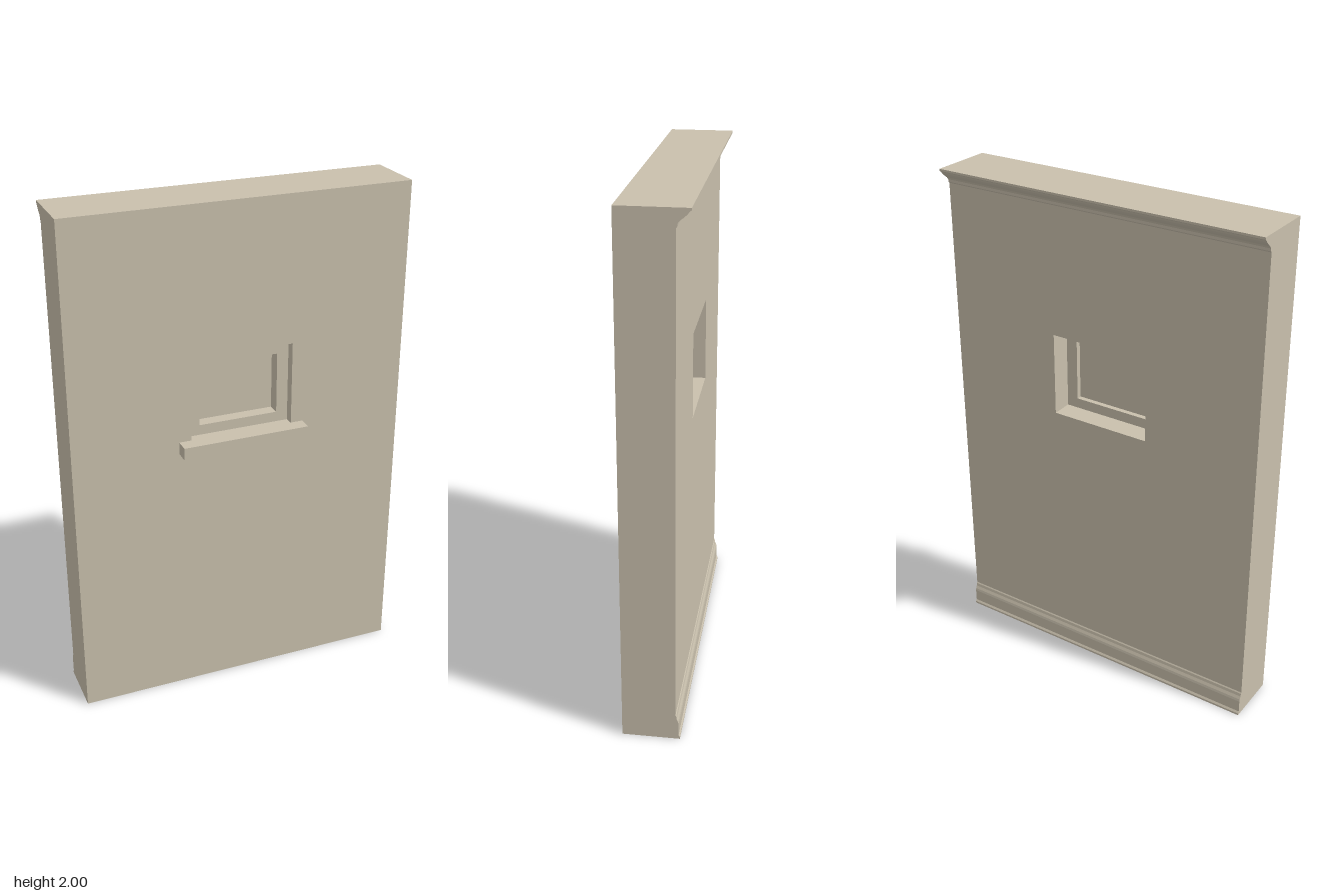
import * as THREE from 'three';

const WIDTH = 1.334, HEIGHT = 2, FRONT = 0.097, BACK = -0.103;
const OPEN = { x: 0.204, y0: 1.1, y1: 1.43 };
const PANE = { x: 0.158, y0: 1.14, y1: 1.382 };

function rectPath(path, x, y0, y1) {
  path.moveTo(-x, y0);
  path.lineTo(x, y0);
  path.lineTo(x, y1);
  path.lineTo(-x, y1);
  path.closePath();
  return path;
}

// Rectangular slab with a rectangular hole, between two depths
function piercedSlab(x, y0, y1, hole, z0, z1) {
  const shape = rectPath(new THREE.Shape(), x, y0, y1);
  shape.holes.push(rectPath(new THREE.Path(), hole.x, hole.y0, hole.y1));
  const geo = new THREE.ExtrudeGeometry(shape, { depth: z1 - z0, bevelEnabled: false });
  return geo.translate(0, 0, z0);
}

// Moulding: profile of [z, y] points swept along the wall width
function moulding(points) {
  const shape = new THREE.Shape(points.map(([z, y]) => new THREE.Vector2(z, y)));
  const geo = new THREE.ExtrudeGeometry(shape, { depth: WIDTH, bevelEnabled: false });
  return geo.translate(0, 0, -WIDTH / 2).rotateY(-Math.PI / 2);
}

function box(x0, x1, y0, y1, z0, z1) {
  return new THREE.BoxGeometry(x1 - x0, y1 - y0, z1 - z0)
    .translate((x0 + x1) / 2, (y0 + y1) / 2, (z0 + z1) / 2);
}

export function createModel() {
  const group = new THREE.Group();
  const plaster = new THREE.MeshStandardMaterial({ color: 0xc9c0ad });
  plaster.name = 'plaster';
  const add = (name, geo) => {
    const mesh = new THREE.Mesh(geo, plaster);
    mesh.name = name;
    group.add(mesh);
  };

  // Wall panel with window opening
  add('wall', piercedSlab(WIDTH / 2, 0, HEIGHT, OPEN, BACK, FRONT));

  // Window frame set back in the opening, with its pane
  add('windowFrame', piercedSlab(OPEN.x, OPEN.y0, OPEN.y1, PANE, -0.02, 0.06));
  add('windowPane', box(-PANE.x, PANE.x, PANE.y0, PANE.y1, 0, 0.01));

  // Projecting sill on the front
  add('sill', box(-0.252, 0.252, 1.053, 1.102, FRONT, 0.152));

  // Cornice at the top of the back face
  add('cornice', moulding([
    [BACK, 2], [-0.152, 2], [-0.152, 1.992], [-0.146, 1.988], [-0.139, 1.979],
    [-0.128, 1.969], [-0.115, 1.959], [-0.108, 1.95], [-0.107, 1.94], [BACK, 1.935],
  ]));

  // Skirting at the foot of the back face
  add('skirting', moulding([
    [BACK, 0.105], [-0.106, 0.1], [-0.108, 0.088], [-0.113, 0.076],
    [-0.115, 0.066], [-0.115, 0.016], [-0.12, 0.008], [-0.12, 0], [BACK, 0],
  ]));

  return group;
}
